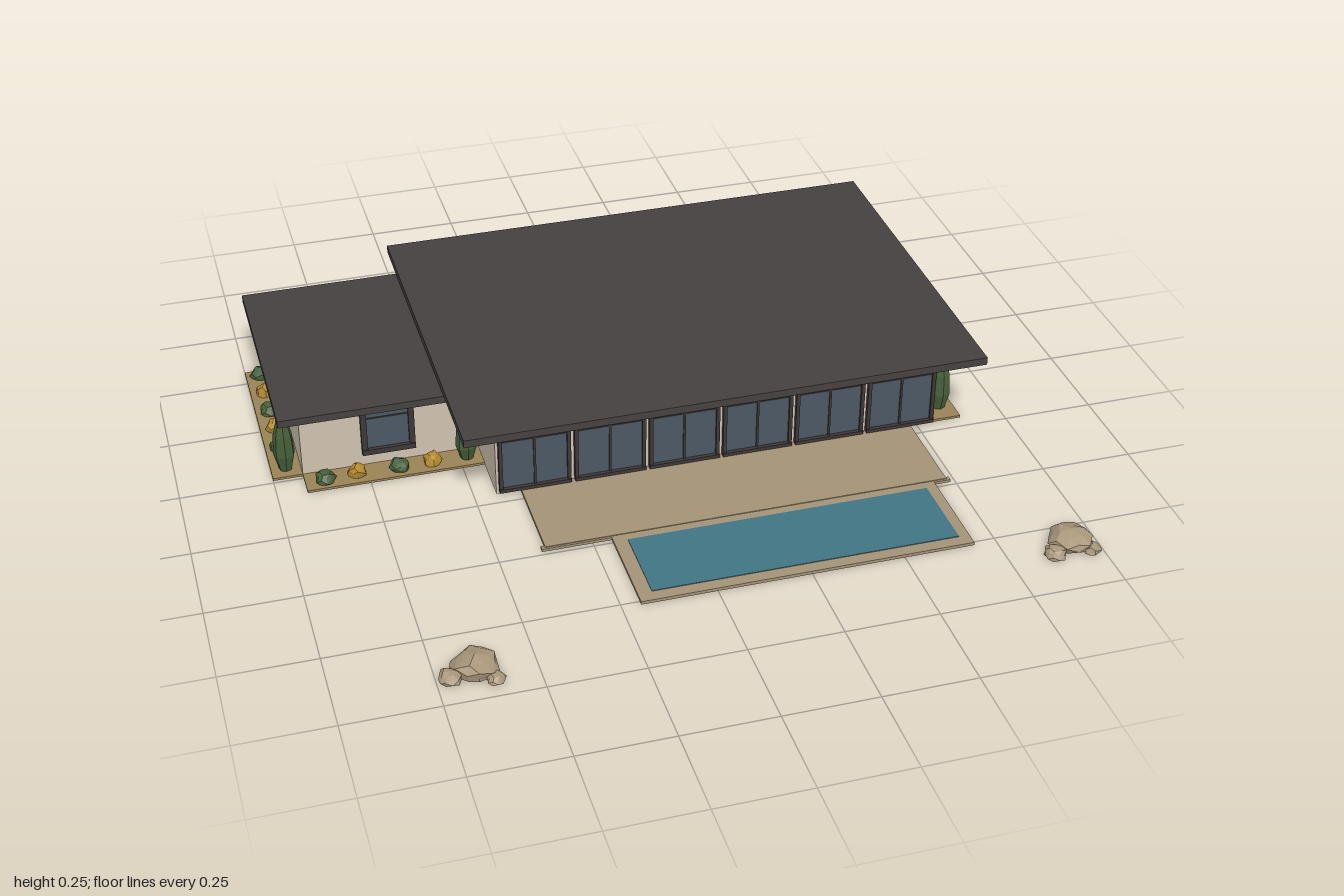
import * as THREE from 'three';

const mat = (name, color, extra = {}) => {
  const m = new THREE.MeshStandardMaterial({ color, ...extra });
  m.name = name;
  return m;
};

export function createModel() {
  const M = {
    wall: mat('stucco', 0xcfc3b0),
    roof: mat('roofing', 0x464141),
    trim: mat('dark trim', 0x3e3838),
    glass: mat('glass', 0x4b5864),
    deck: mat('paving', 0xa39277),
    water: mat('pool water', 0x417583),
    soil: mat('bed gravel', 0x9a8256),
    green: mat('foliage', 0x46603b, { flatShading: true }),
    gold: mat('golden foliage', 0xb48c2f, { flatShading: true }),
    rock: mat('boulder', 0xa8967b, { flatShading: true }),
  };
  const house = new THREE.Group();
  house.name = 'house';

  const add = (parent, name, geo, material, x = 0, y = 0, z = 0) => {
    const m = new THREE.Mesh(geo, material);
    m.name = name;
    m.position.set(x, y, z);
    parent.add(m);
    return m;
  };
  // Box given by its limits on each axis
  const block = (name, material, x0, x1, y0, y1, z0, z1, parent = house) =>
    add(parent, name, new THREE.BoxGeometry(x1 - x0, y1 - y0, z1 - z0), material,
      (x0 + x1) / 2, (y0 + y1) / 2, (z0 + z1) / 2);

  // Hollow ring of walls, open below
  const walls = (name, x0, x1, z0, z1, h, t = 0.012) => {
    const rect = (P, d) => {
      const p = new P();
      p.moveTo(x0 + d, -z1 + d);
      p.lineTo(x1 - d, -z1 + d);
      p.lineTo(x1 - d, -z0 - d);
      p.lineTo(x0 + d, -z0 - d);
      p.closePath();
      return p;
    };
    const s = rect(THREE.Shape, 0);
    s.holes.push(rect(THREE.Path, t));
    const g = new THREE.ExtrudeGeometry(s, { depth: h, bevelEnabled: false });
    add(house, name, g.rotateX(-Math.PI / 2), M.wall);
  };
  walls('mainWalls', -0.44, 0.8, -0.62, 0.21, 0.23);
  walls('wingWalls', -0.92, -0.43, -0.55, -0.01, 0.205);
  block('mainRoof', M.roof, -0.54, 0.9, 0.23, 0.252, -0.73, 0.305);
  block('wingRoof', M.roof, -0.98, -0.44, 0.205, 0.226, -0.61, 0.05);

  // Framed opening facing local +z, standing on y0
  const opening = (name, x, z, turn, w, y0, y1, o = {}) => {
    const { bar = 0.014, cols = 1, rail = 0, fill = M.glass, depth = 0.012 } = o;
    const g = new THREE.Group();
    g.name = name;
    g.position.set(x, 0, z);
    g.rotation.y = turn;
    const h = w / 2;
    block('pane', fill, -h + bar / 2, h - bar / 2, y0, y1 - bar / 2, 0, 0.005, g);
    for (const s of [-1, 1]) {
      const e = s * (h - bar / 2);
      block('jamb', M.trim, e - bar / 2, e + bar / 2, y0, y1, 0, depth, g);
    }
    block('head', M.trim, -h, h, y1 - bar, y1, 0, depth + 0.002, g);
    block('sill', M.trim, -h, h, y0, y0 + bar, 0, depth + 0.004, g);
    for (let i = 1; i < cols; i++) {
      const m = -h + (w * i) / cols;
      block('mullion', M.trim, m - 0.003, m + 0.003, y0, y1, 0, 0.009, g);
    }
    if (rail) block('rail', M.trim, -h, h, rail - 0.002, rail + 0.002, 0, 0.008, g);
    house.add(g);
  };
  const FRONT = 0, BACK = Math.PI, LEFT = Math.PI / 2, RIGHT = -Math.PI / 2;

  // Glazed garden front
  for (let i = 0; i < 6; i++)
    opening('patioDoor', -0.335 + i * 0.206, 0.21, FRONT, 0.196, 0.01, 0.202,
      { bar: 0.01, cols: 2, rail: 0.165 });
  // Side, wing and rear windows
  for (const z of [0.067, -0.208, -0.485])
    opening('sideWindow', 0.8, z, LEFT, 0.107, 0.047, 0.19, { bar: 0.018, rail: 0.155 });
  opening('wingFrontWindow', -0.685, -0.01, FRONT, 0.145, 0.045, 0.192, { bar: 0.016, rail: 0.155 });
  opening('wingSideWindow', -0.92, -0.24, RIGHT, 0.107, 0.047, 0.185, { bar: 0.018, rail: 0.155 });
  for (const x of [0.61, -0.12, -0.32])
    opening('rearWindow', x, -0.62, BACK, 0.107, 0.047, 0.19, { bar: 0.018, rail: 0.155 });
  opening('sideLight', 0.055, -0.62, BACK, 0.045, 0.047, 0.19, { bar: 0.01 });

  // Rear bay window
  block('bayBody', M.trim, 0.35, 0.47, 0.035, 0.19, -0.685, -0.615);
  opening('bayFront', 0.41, -0.685, BACK, 0.12, 0.035, 0.19, { cols: 2, rail: 0.155 });
  opening('bayLeft', 0.47, -0.655, LEFT, 0.06, 0.035, 0.19, { bar: 0.01, depth: 0.008 });
  opening('bayRight', 0.35, -0.655, RIGHT, 0.06, 0.035, 0.19, { bar: 0.01, depth: 0.008 });

  // Entrance with step and canopy
  opening('entryDoor', 0.185, -0.62, BACK, 0.14, 0.012, 0.185, { fill: M.trim, cols: 2 });
  block('entryStep', M.deck, 0.08, 0.28, 0, 0.014, -0.745, -0.61);
  block('entryCanopy', M.roof, 0.07, 0.3, 0.203, 0.215, -0.678, -0.61);

  // Garage doors with panel ribs
  for (const x of [-0.775, -0.575]) {
    opening('garageDoor', x, -0.55, BACK, 0.192, 0.004, 0.175, { fill: M.trim, bar: 0.01 });
    for (let i = 1; i < 4; i++)
      block('garageRib', M.trim, x - 0.09, x + 0.09, i * 0.042, i * 0.042 + 0.004, -0.558, -0.55);
  }
  // Wall lamps
  for (const [x, z] of [[-0.895, -0.55], [-0.46, -0.55], [0.1, -0.62], [0.275, -0.62]])
    block('wallLamp', M.trim, x - 0.009, x + 0.009, 0.115, 0.145, z - 0.018, z);

  // Terrace and pool
  block('terrace', M.deck, -0.375, 0.727, 0, 0.01, 0.2, 0.482);
  block('terraceLip', M.deck, -0.385, 0.737, 0, 0.008, 0.474, 0.488);
  block('poolSurround', M.deck, -0.2, 0.69, 0, 0.009, 0.485, 0.763);
  block('poolWater', M.water, -0.163, 0.66, 0.004, 0.011, 0.51, 0.73);

  // Planting beds: x0, x1, z0, z1
  for (const [x0, x1, z0, z1] of [
    [0.8, 0.88, -0.62, 0.21], [-1, -0.92, -0.55, -0.01], [-0.92, -0.44, -0.01, 0.07],
    [-0.44, 0.06, -0.7, -0.62], [0.3, 0.8, -0.7, -0.62],
  ]) block('plantingBed', M.soil, x0, x1, 0, 0.007, z0, z1);

  // Faceted lump: vertices pushed in or out by a rule of their position
  const lump = (name, material, x, z, r, h, detail = 1, sunk = -0.5) => {
    const g = new THREE.IcosahedronGeometry(1, detail);
    const p = g.attributes.position, v = new THREE.Vector3();
    for (let i = 0; i < p.count; i++) {
      v.fromBufferAttribute(p, i);
      const k = 1 + 0.13 * Math.sin(v.x * 5.1 + v.y * 7.3 + v.z * 3.7 + x * 40 + z * 23);
      v.multiplyScalar(k);
      const y = (Math.max(v.y, sunk) - sunk) / (1 - sunk);
      p.setXYZ(i, v.x * r, y * h, v.z * r);
    }
    g.computeVertexNormals();
    add(house, name, g, material, x, 0, z);
  };

  // Columnar shrubs
  const profile = [[0, 0], [0.6, 0.04], [1, 0.3], [0.85, 0.62], [0.45, 0.88], [0, 1]];
  for (const [x, z, h] of [
    [-0.96, -0.05, 0.19], [-0.48, 0.03, 0.155], [0.838, 0.15, 0.19],
    [0.84, -0.565, 0.11], [0.74, -0.66, 0.13], [-0.39, -0.66, 0.13],
  ]) {
    const pts = profile.map(([r, y]) => new THREE.Vector2(r * 0.03, y * h));
    add(house, 'cypress', new THREE.LatheGeometry(pts, 7), M.green, x, 0, z);
  }

  // Low shrubs in rows, alternately green and golden
  const shrub = (x, z, gold) =>
    lump('shrub', gold ? M.gold : M.green, x, z, gold ? 0.024 : 0.028, gold ? 0.04 : 0.035);
  [0.065, -0.02, -0.115, -0.21, -0.285, -0.385, -0.465]
    .forEach((z, i) => shrub(0.84, z, [1, 0, 1, 1, 0, 0, 1][i]));
  for (let i = 0; i < 5; i++) shrub(-0.96, -0.52 + i * 0.093, i % 2);
  [-0.865, -0.78, -0.665, -0.575].forEach((x, i) => shrub(x, 0.03, i % 2));
  for (let i = 0; i < 4; i++) {
    shrub(-0.3 + i * 0.1, -0.66, (i + 1) % 2);
    shrub(0.34 + i * 0.1, -0.67 - (i < 2 ? 0.02 : 0), i % 2);
  }

  // Boulder clusters: one large and two small stones
  for (const [x, z, a, b, c, d] of [
    [-0.44, -0.905, -0.505, -0.885, -0.405, -0.858], [0.872, -0.84, 0.81, -0.812, 0.905, -0.785],
    [-0.65, 0.89, -0.715, 0.91, -0.61, 0.94], [0.93, 0.82, 0.872, 0.858, 0.97, 0.865],
  ]) {
    lump('boulder', M.rock, x, z, 0.058, 0.044, 1, -0.3);
    lump('smallBoulder', M.rock, a, b, 0.03, 0.026, 1, -0.3);
    lump('smallBoulder', M.rock, c, d, 0.024, 0.02, 1, -0.3);
  }
  return house;
}
